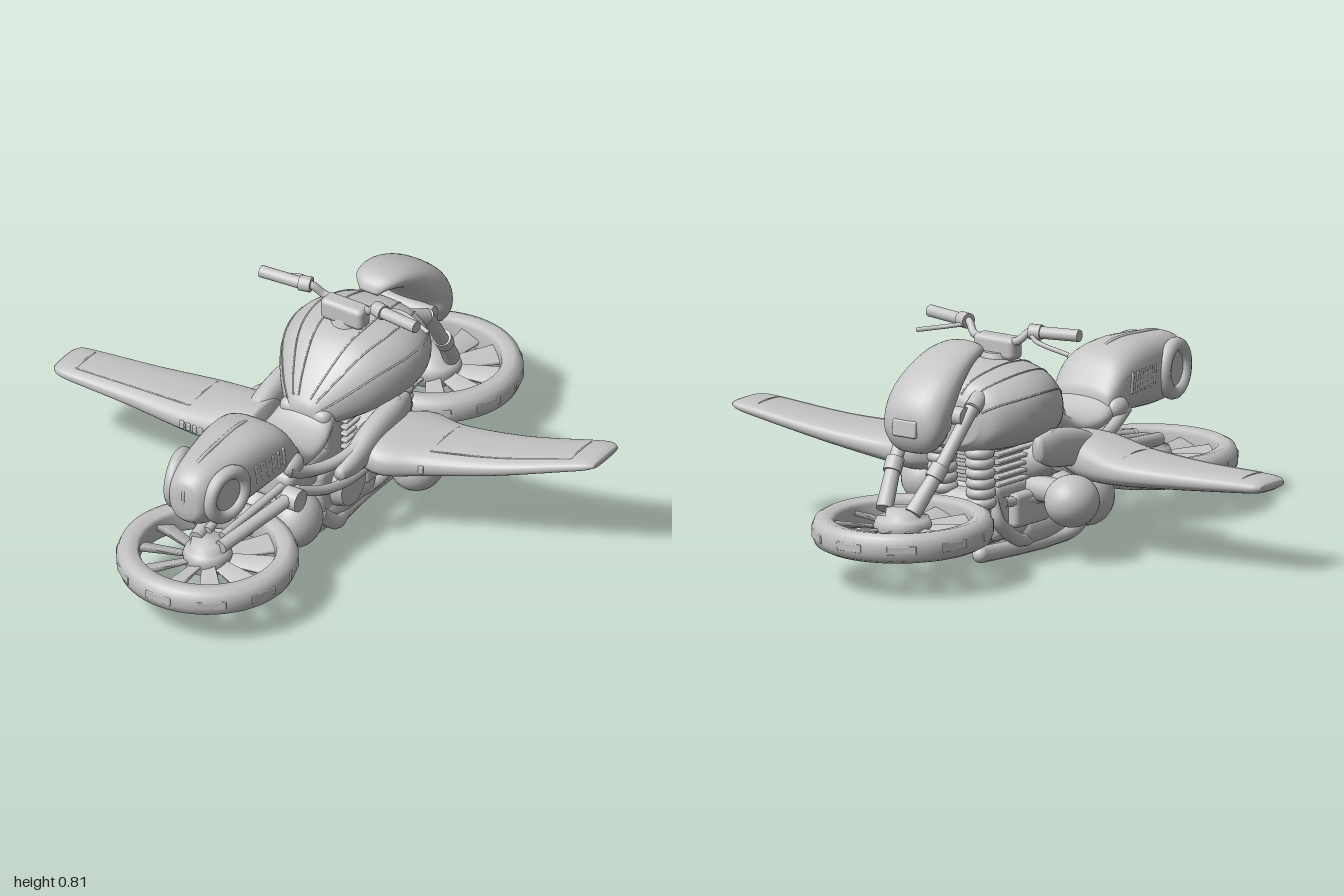
import * as THREE from 'three';
import { RoundedBoxGeometry } from 'three/addons/geometries/RoundedBoxGeometry.js';

const V = (x, y, z) => new THREE.Vector3(x, y, z);

export function createModel() {
  const root = new THREE.Group();
  root.name = 'flyingMotorcycle';
  root.position.x = -0.01;
  const grey = new THREE.MeshStandardMaterial({ color: 0xc4c4c4 });
  grey.name = 'plain grey';

  function add(name, geo, pos = [0, 0, 0], rot = [0, 0, 0], parent = root) {
    const m = new THREE.Mesh(geo, grey);
    m.name = name;
    m.position.set(...pos);
    m.rotation.set(...rot);
    parent.add(m);
    return m;
  }

  // Resamples section rows [z, y, halfWidth, halfHeight, x, exponent]
  function resample(rows, n) {
    const full = rows.map(r => [r[0], r[1], r[2], r[3], r[4] ?? 0, r[5] ?? 2.3]);
    const curve = k => new THREE.CatmullRomCurve3(full.map(r => V(r[k], r[k + 1], r[k + 2])), false, 'catmullrom', 0.5);
    const a = curve(0), b = curve(3);
    return Array.from({ length: n + 1 }, (_, i) => {
      const p = a.getPoint(i / n), q = b.getPoint(i / n);
      return [p.x, p.y, Math.max(p.z, 0.002), Math.max(q.x, 0.002), q.y, q.z];
    });
  }

  // Point on a superellipse section, tilted by a about x
  function sectionPoint([z, y, w, h, x, p], t, a = 0) {
    const c = Math.cos(t), s = Math.sin(t);
    const u = w * Math.sign(c) * Math.abs(c) ** (2 / p);
    const v = h * Math.sign(s) * Math.abs(s) ** (2 / p);
    return [x + u, y + v * Math.cos(a), z + v * Math.sin(a)];
  }

  // Skin through elliptical sections, with end caps
  function loft(rows, { n = 24, seg = 32, follow = false } = {}) {
    const secs = resample(rows, n), pos = [], idx = [];
    secs.forEach((s, i) => {
      const p = secs[Math.max(i - 1, 0)], q = secs[Math.min(i + 1, n)];
      const a = follow ? Math.atan2(p[1] - q[1], q[0] - p[0]) : 0;
      for (let j = 0; j < seg; j++) pos.push(...sectionPoint(s, j / seg * Math.PI * 2, a));
    });
    for (let i = 0; i < n; i++) for (let j = 0; j < seg; j++) {
      const a = i * seg + j, b = i * seg + (j + 1) % seg;
      idx.push(a, b, b + seg, a, b + seg, a + seg);
    }
    for (const [i, flip] of [[0, true], [n, false]]) {
      const c = pos.length / 3, s = secs[i];
      pos.push(s[4], s[1], s[0]);
      for (let j = 0; j < seg; j++) {
        const a = i * seg + j, b = i * seg + (j + 1) % seg;
        idx.push(c, flip ? b : a, flip ? a : b);
      }
    }
    const g = new THREE.BufferGeometry();
    g.setAttribute('position', new THREE.Float32BufferAttribute(pos, 3));
    g.setIndex(idx);
    g.computeVertexNormals();
    return g;
  }

  const tube = (pts, r, n = 20) => new THREE.TubeGeometry(new THREE.CatmullRomCurve3(pts.map(p => V(...p))), n, r, 10);
  function rod(name, a, b, r, r2 = r) {
    const A = V(...a), B = V(...b);
    const m = add(name, new THREE.CylinderGeometry(r2, r, A.distanceTo(B), 16), A.clone().add(B).multiplyScalar(0.5).toArray());
    m.quaternion.setFromUnitVectors(V(0, 1, 0), B.sub(A).normalize());
  }
  const ball = (name, r, pos, scale) => add(name, new THREE.SphereGeometry(r, 28, 18), pos).scale.set(...scale);
  const lathe = pts => new THREE.LatheGeometry(pts.map(p => new THREE.Vector2(...p)), 56);

  // Flat-lying fan wheels
  function wheel(name, pos, tilt, hubH, hubR) {
    const g = new THREE.Group();
    g.name = name;
    g.position.set(...pos);
    g.rotation.x = tilt;
    root.add(g);
    add('tyre', lathe([[.24, -.045], [.275, -.052], [.298, -.04], [.308, -.015], [.308, .015], [.298, .04],
      [.275, .052], [.24, .045], [.232, .03], [.232, -.03], [.24, -.045]]), [0, 0, 0], [0, 0, 0], g);
    add('hub', lathe([[0, -.04], [.06, -.04], [hubR * .9, -.03], [hubR, .015], [hubR * .9, hubH * .55], [.06, hubH * .6],
      [.055, hubH], [0, hubH + .004]]), [0, 0, 0], [0, 0, 0], g);
    const blade = new THREE.CylinderGeometry(.055, .034, .17, 4, 1, false, Math.PI / 4);
    blade.scale(1, 1, .22);
    for (let i = 0; i < 10; i++) {
      const arm = new THREE.Group();
      arm.name = 'spokeArm';
      arm.rotation.y = i * Math.PI / 5;
      g.add(arm);
      add('fanSpoke', blade, [0, 0, .155], [Math.PI / 2, .35, 0], arm);
      add('treadBlock', new RoundedBoxGeometry(.1, .03, .008, 2, .003), [0, 0, .304], [0, 0, 0], arm);
    }
  }
  wheel('tailWheel', [-.01, .18, .69], 0, .07, .085);
  wheel('forkWheel', [-.01, .19, -.69], -.03, .07, .1);

  // Fuel tank with raised seams
  const tank = [[-.42, .51, .12, .08], [-.38, .525, .19, .125], [-.28, .535, .24, .145], [-.17, .535, .245, .15],
    [-.05, .52, .205, .14], [.06, .48, .125, .09], [.13, .45, .05, .035]];
  add('fuelTank', loft(tank, { n: 32, seg: 40 }));
  const tankRows = resample(tank, 20);
  for (const t of [.12, .3, .41, .59, .7, .88])
    add('tankSeam', tube(tankRows.slice(1, 20).map(r => sectionPoint(r, t * Math.PI)), .003, 40));
  add('fillerCap', new THREE.CylinderGeometry(.045, .055, .03, 24), [0, .69, -.15]);

  // Seat and tail cowl
  add('seat', loft([[-.02, .46, .07, .05], [.07, .44, .1, .06], [.16, .395, .12, .04], [.26, .39, .13, .04],
    [.34, .42, .135, .055], [.42, .46, .11, .05]]));
  add('tailCowl', loft([[.32, .43, .12, .05, 0, 2.6], [.4, .485, .135, .1, 0, 2.8], [.52, .5, .13, .12, 0, 2.8],
    [.66, .495, .112, .122, 0, 2.8], [.78, .492, .09, .112, 0, 2.6], [.84, .49, .065, .08, 0, 2.3], [.855, .49, .03, .04]], { n: 32 }));
  add('cowlSpine', tube([[0, .56, .4], [0, .612, .48], [0, .618, .62], [0, .604, .76], [0, .55, .845], [0, .44, .845]], .007));

  // Curved headlight shell above the fork
  add('headShell', loft([[-.57, .475, .09, .07, 0, 3], [-.59, .515, .115, .075, 0, 3], [-.585, .575, .122, .078], [-.545, .632, .12, .07],
    [-.48, .688, .108, .057], [-.4, .732, .094, .04], [-.32, .745, .073, .028], [-.285, .715, .035, .012]], { n: 32, follow: true }));
  add('headlightLens', new RoundedBoxGeometry(.1, .06, .02, 3, .008), [0, .53, -.664], [.1, 0, 0]);
  add('headlightBar', new THREE.CylinderGeometry(.032, .032, .25, 20), [0, .555, -.49], [0, 0, Math.PI / 2]);

  // Handlebar and its clamp
  add('handlebarClamp', new RoundedBoxGeometry(.17, .08, .07, 3, .02), [0, .72, -.14]);
  add('handlebar', tube([[-.2, .785, -.12], [-.13, .785, -.13], [-.09, .75, -.15], [0, .74, -.15], [.09, .75, -.15], [.13, .785, -.13], [.2, .785, -.12]], .014, 40));

  // Engine, belly and centre frame
  add('engineBlock', new RoundedBoxGeometry(.24, .2, .5, 3, .03), [0, .18, -.06]);
  add('engineNose', new RoundedBoxGeometry(.2, .19, .2, 3, .04), [0, .165, -.28]);
  add('engineCore', new RoundedBoxGeometry(.2, .22, .42, 3, .03), [0, .37, -.08]);
  add('rearFrame', new RoundedBoxGeometry(.2, .12, .3, 3, .03), [0, .29, .2]);
  for (let i = 0; i < 6; i++)
    add('coolingFin', new RoundedBoxGeometry(.25, .013, .34, 1, .004), [0, .28 + i * .026, -.13]);
  add('crankCase', new THREE.CylinderGeometry(.07, .07, .2, 32), [0, .14, .25], [0, 0, Math.PI / 2]);

  for (const s of [-1, 1]) {
    // Cowl side intakes and vents
    const intake = new THREE.Group();
    intake.name = 'sideIntake';
    intake.position.set(s * .095, .492, .73);
    intake.rotation.set(0, s * (Math.PI / 2 - .2), 0);
    root.add(intake);
    add('intakeRing', new THREE.TorusGeometry(.082, .025, 12, 36), [0, 0, 0], [0, 0, 0], intake);
    add('intakeDisc', new THREE.CylinderGeometry(.065, .065, .02, 32), [0, 0, -.005], [Math.PI / 2, 0, 0], intake);
    for (let i = 0; i < 6; i++)
      add('cowlVent', new RoundedBoxGeometry(.022, .075, .014, 1, .004), [s * (.128 - i * .003), .5, .44 + i * .029], [.15, 0, 0]);
    ball('cowlLug', .04, [s * .125, .425, .37], [.8, 1, 1.2]);

    // Grips and levers
    rod('grip', [s * .17, .785, -.12], [s * .315, .79, -.1], .021);
    rod('switchBox', [s * .13, .785, -.13], [s * .17, .785, -.12], .027);
    add('brakeLever', tube([[s * .14, .775, -.14], [s * .2, .765, -.18], [s * .32, .735, -.165]], .008));

    // Fork legs and bellows
    rod('forkLower', [s * .06, .25, -.7], [s * .09, .37, -.61], .03, .026);
    rod('forkUpper', [s * .09, .36, -.615], [s * .125, .58, -.45], .024);
    rod('forkCollar', [s * .088, .36, -.62], [s * .095, .4, -.59], .032);
    rod('forkBrace', [s * .12, .57, -.45], [s * .09, .62, -.33], .03);
    for (let i = 0; i < 7; i++)
      add('bellowsRing', new THREE.TorusGeometry(.032, .02, 10, 24), [s * .08, .225 + i * .035, -.34 - i * .002], [Math.PI / 2, 0, 0]);
    rod('bellowsCore', [s * .08, .17, -.335], [s * .08, .5, -.355], .033);

    // Tail wheel arms and frame rails
    rod('swingArm', [s * .05, .245, .7], [s * .12, .29, .32], .024);
    rod('swingStay', [s * .03, .26, .66], [s * .07, .31, .3], .015);
    rod('armPivot', [s * .09, .28, .36], [s * .15, .28, .36], .04);
    add('seatRail', tube([[s * .13, .42, .41], [s * .15, .37, .3], [s * .185, .36, .18], [s * .22, .4, .04], [s * .21, .44, -.14]], .022));
    add('lowerRail', tube([[s * .12, .3, .34], [s * .15, .24, .2], [s * .15, .2, 0], [s * .13, .22, -.28]], .018));
    add('sidePanel', loft([[-.2, .42, .02, .04], [-.12, .41, .04, .065], [.02, .39, .042, .065], [.14, .36, .036, .045], [.22, .35, .018, .02]]), [s * .21, -.02, 0]);
    rod('cylinderHead', [s * .09, .32, -.08], [s * .2, .36, -.08], .07, .06);

    // Engine covers, belly lobes and exhausts
    ball('crankLobe', .1, [s * .075, .132, .27], [.85, 1, 1]);
    add('clutchCover', new THREE.CylinderGeometry(.075, .09, .05, 32), [s * .135, .18, .05], [0, 0, -s * Math.PI / 2]);
    add('sideCover', new RoundedBoxGeometry(.05, .12, .2, 3, .02), [s * .13, .18, -.14]);
    add('bellyLobe', new THREE.CapsuleGeometry(.062, .28, 8, 20), [s * .068, .085, .03], [Math.PI / 2, 0, 0]);
    add('exhaustPipe', tube([[s * .12, .13, .2], [s * .13, .06, .12], [s * .1, .036, .02], [s * .09, .034, -.1], [s * .1, .045, -.27], [s * .11, .055, -.39]], .028, 36));
    add('downPipe', tube([[s * .09, .24, -.3], [s * .12, .16, -.3], [s * .12, .08, -.2], [s * .09, .05, -.08]], .024));
    ball('exhaustTip', .028, [s * .11, .055, -.385], [1, 1, 1]);

    // Underwing pods
    ball('underwingPod', .1, [s * .302, .22, -.125], [.92, .9, 1]);
    rod('podStrut', [s * .12, .24, -.1], [s * .28, .24, -.12], .045);
  }

  // Swept wings: rows run outward as [span, y, halfChord, halfThickness, chordCentre]
  const wing = (name, rows, s) => {
    const g = new THREE.Group();
    g.name = name;
    root.add(g);
    const turned = rows.map(([d, y, w, h, z]) => [d, y, w, h, -s * z, 2.5]);
    add('wingSkin', loft(turned, { n: 30, seg: 36 }), [0, 0, 0], [0, s * Math.PI / 2, 0], g);
    const at = (i, f) => [s * rows[i][0], rows[i][1] + rows[i][3] * (f ? .84 : 1), rows[i][4] + f * rows[i][2]];
    add('flapSeam', tube([2, 3, 4].map(i => at(i, .62)), .003), [0, 0, 0], [0, 0, 0], g);
    for (const i of [2, 4])
      add('wingJoint', tube([-.62, 0, .62].map(f => at(i, f)), .003), [0, 0, 0], [0, 0, 0], g);
    const r = rows[2];
    for (let i = 0; i < 4; i++)
      add('wingVent', new RoundedBoxGeometry(.018, .03, .02, 1, .004), [s * (r[0] - .08 + i * .026), r[1], r[4] + r[2] - .004], [0, 0, 0], g);
  };
  wing('rightWing', [[.16, .34, .1, .07, .1], [.26, .325, .13, .076, .1], [.42, .312, .138, .057, .09], [.65, .312, .112, .041, .1],
    [.88, .318, .094, .029, .118], [.94, .319, .085, .023, .12], [.965, .319, .066, .012, .12]], -1);
  wing('leftWing', [[.16, .33, .1, .07, -.03], [.28, .32, .178, .071, -.08], [.42, .322, .145, .055, -.115], [.65, .352, .12, .038, -.172],
    [.89, .402, .1, .027, -.24], [.95, .414, .092, .021, -.255], [.978, .417, .075, .011, -.258]], 1);

  return root;
}
